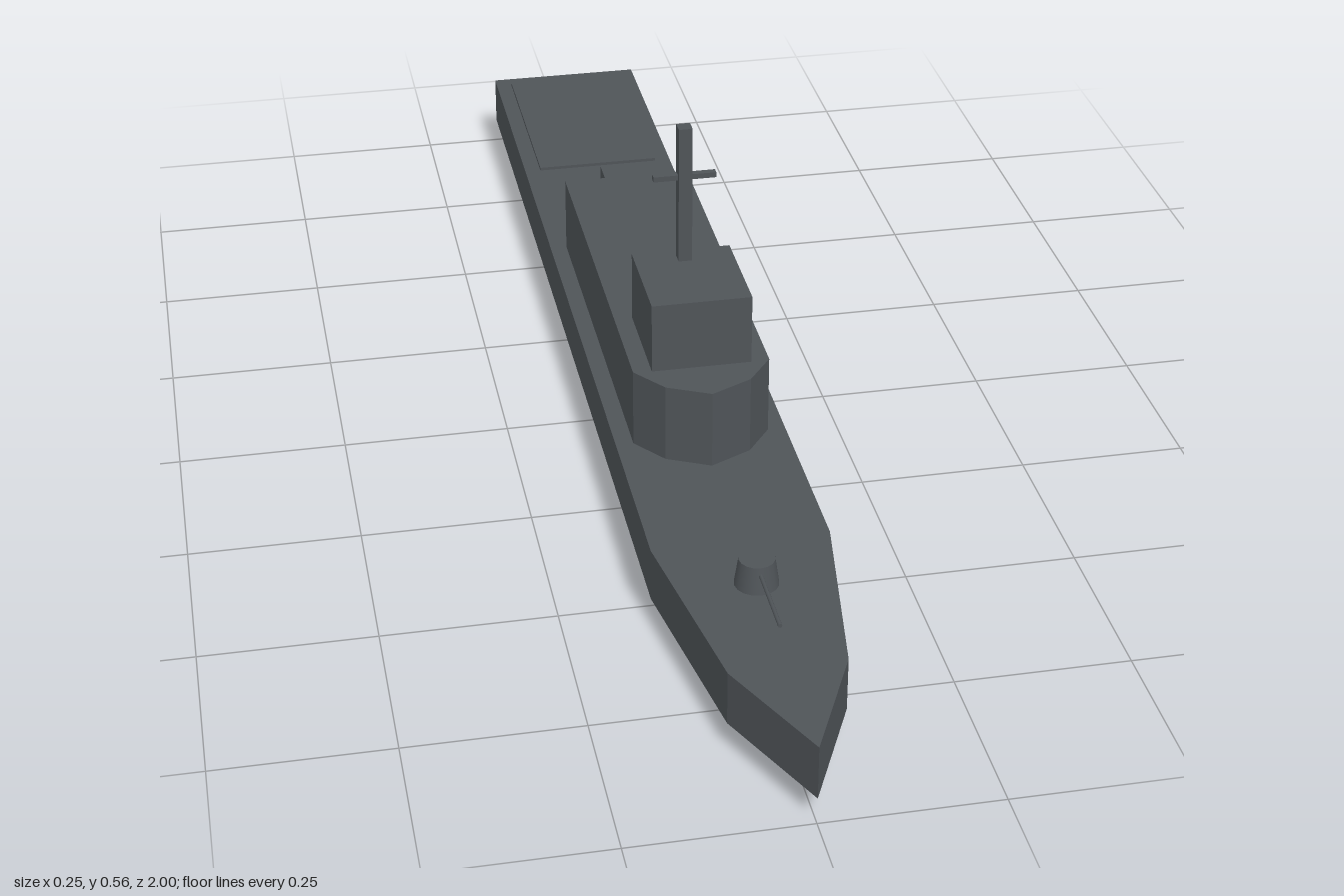
import * as THREE from 'three';

const grey = new THREE.MeshStandardMaterial({ color: 0x4f5458 });
grey.name = 'naval grey';

// Closed solid from stacked convex outlines; each level is { y, points: [[x, z], ...] }
function loft(levels) {
  const n = levels[0].points.length;
  const pos = [];
  const put = (l, i) => {
    const p = levels[l].points[i % n];
    pos.push(p[0], levels[l].y, p[1]);
  };
  const top = levels.length - 1;
  for (let l = 0; l < top; l++) {
    for (let i = 0; i < n; i++) {
      put(l, i); put(l + 1, i); put(l, i + 1);
      put(l, i + 1); put(l + 1, i); put(l + 1, i + 1);
    }
  }
  for (let i = 1; i < n - 1; i++) {
    put(0, 0); put(0, i); put(0, i + 1);
    put(top, 0); put(top, i + 1); put(top, i);
  }
  const geo = new THREE.BufferGeometry();
  geo.setAttribute('position', new THREE.Float32BufferAttribute(pos, 3));
  geo.computeVertexNormals();
  return geo;
}

// Full outline from its left half, listed stern to bow and ending on the centreline
function mirrorOutline(half) {
  return [...half, ...half.slice(0, -1).reverse().map(([x, z]) => [-x, z])];
}

export function createModel() {
  const ship = new THREE.Group();
  ship.name = 'patrolShip';

  const add = (name, geo, x = 0, y = 0, z = 0, parent = ship) => {
    const mesh = new THREE.Mesh(geo, grey);
    mesh.name = name;
    mesh.position.set(x, y, z);
    parent.add(mesh);
    return mesh;
  };
  const box = (name, w, y0, y1, z0, z1) =>
    add(name, new THREE.BoxGeometry(w, y1 - y0, z1 - z0), 0, (y0 + y1) / 2, (z0 + z1) / 2);

  // Hull: straight sides above a narrower, shorter flat bottom
  const deck = mirrorOutline([[0.126, -1], [0.126, 0.54], [0.08, 0.83], [0, 1]]);
  const keel = deck.map(([x, z]) => [x * 0.87, z * 0.86 + 0.04]);
  add('hull', loft([
    { y: 0, points: keel },
    { y: 0.04, points: deck },
    { y: 0.12, points: deck },
  ]));

  // Deckhouse with a faceted front
  const house = mirrorOutline([[0.1, -0.345], [0.1, 0.265], [0.062, 0.315], [0, 0.345]]);
  add('deckhouse', loft([{ y: 0.12, points: house }, { y: 0.24, points: house }]));
  box('hangarDoor', 0.07, 0.135, 0.24, -0.386, -0.345);

  // Bridge and mast
  box('bridge', 0.146, 0.24, 0.347, 0.11, 0.268);
  box('mast', 0.02, 0.347, 0.56, 0.125, 0.145);
  box('yardarm', 0.092, 0.477, 0.485, 0.13, 0.14);

  // Landing pad on the aft deck
  box('landingPad', 0.2, 0.119, 0.125, -0.97, -0.625);

  // Forward gun
  const gun = new THREE.Group();
  gun.name = 'foredeckGun';
  gun.position.set(0, 0.12, 0.64);
  ship.add(gun);
  add('turret', new THREE.CylinderGeometry(0.025, 0.031, 0.04, 16), 0, 0.02, 0, gun);
  const barrel = add('barrel', new THREE.CylinderGeometry(0.003, 0.003, 0.13, 8), 0, 0.028, 0.075, gun);
  barrel.rotation.x = Math.PI / 2;

  return ship;
}
